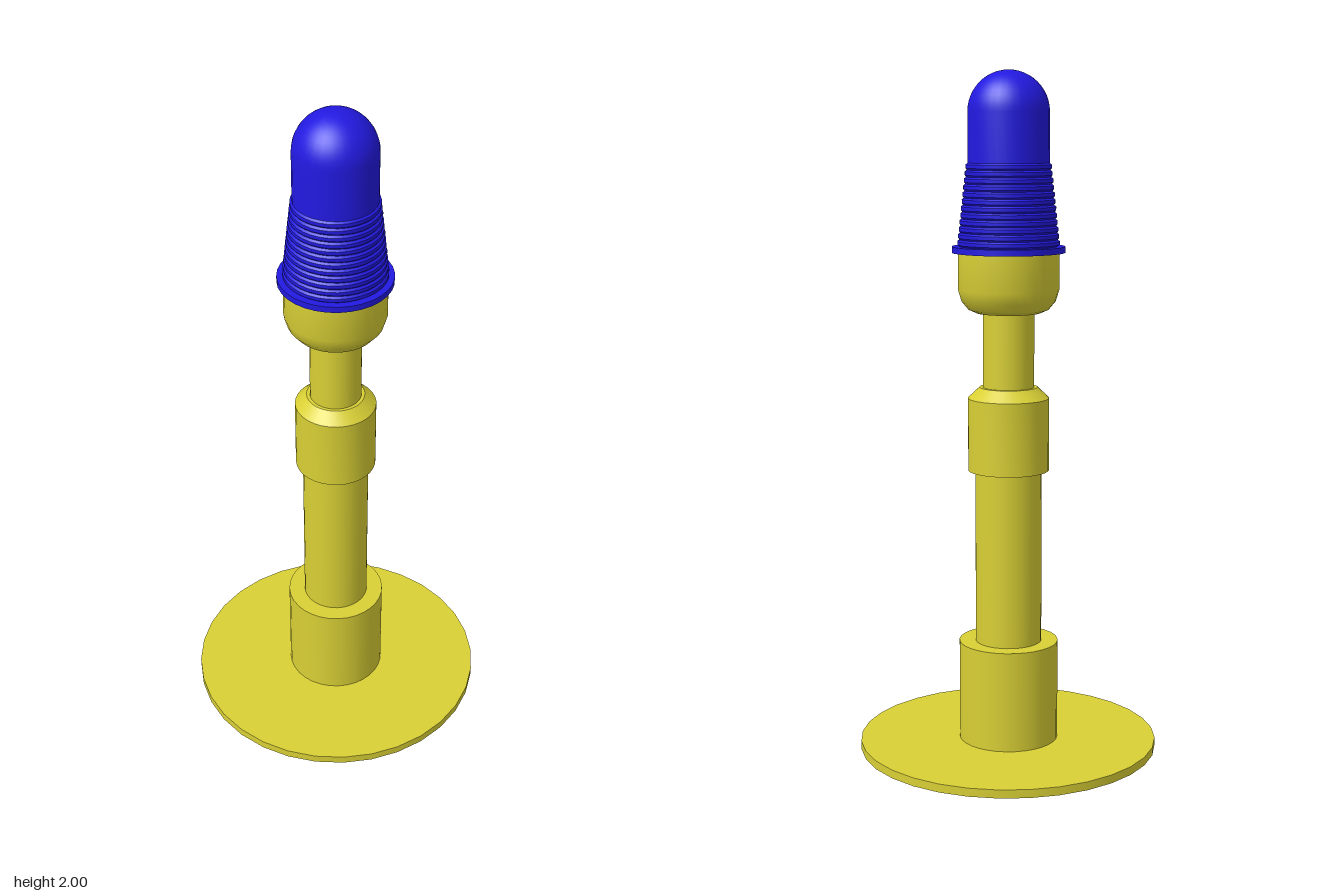
import * as THREE from 'three';
import { toCreasedNormals } from 'three/addons/utils/BufferGeometryUtils.js';

const SIDES = 32;
const yellow = new THREE.MeshStandardMaterial({ color: 0xd9d035 });
const blue = new THREE.MeshStandardMaterial({ color: 0x2219e0 });

// Turned part from [radius, height] pairs, listed bottom to top
function turned(name, profile, material) {
  const points = profile.map(([r, y]) => new THREE.Vector2(r, y));
  const geometry = toCreasedNormals(new THREE.LatheGeometry(points, SIDES), 0.45);
  const mesh = new THREE.Mesh(geometry, material);
  mesh.name = name;
  return mesh;
}

// Plain capped cylinder between two heights
function drum(name, radius, y0, y1, material) {
  const mesh = new THREE.Mesh(new THREE.CylinderGeometry(radius, radius, y1 - y0, SIDES), material);
  mesh.position.y = (y0 + y1) / 2;
  mesh.name = name;
  return mesh;
}

export function createModel() {
  const group = new THREE.Group();
  group.name = 'beaconLamp';

  // Floor plate
  group.add(drum('basePlate', 0.443, 0, 0.025, yellow));

  // Everything above the plate sits a hair off its centre
  const post = new THREE.Group();
  post.name = 'post';
  post.position.set(-0.003, 0, -0.002);
  group.add(post);

  // Stepped column
  post.add(drum('baseSocket', 0.147, 0.02, 0.325, yellow));
  post.add(drum('lowerPole', 0.098, 0.32, 0.85, yellow));
  post.add(turned('collar', [
    [0, 0.843], [0.119, 0.843], [0.119, 1.058], [0.085, 1.09], [0, 1.09],
  ], yellow));
  post.add(drum('upperPole', 0.075, 1.08, 1.32, yellow));

  // Lamp holder with a rounded underside
  post.add(turned('lampHolder', [
    [0, 1.308], [0.094, 1.308], [0.117, 1.318], [0.137, 1.342],
    [0.147, 1.375], [0.147, 1.482], [0, 1.482],
  ], yellow));

  // Lens flange
  post.add(drum('lensFlange', 0.164, 1.482, 1.5, blue));

  // Tapering ribbed lens skirt
  const ribs = 12, bottom = 1.5, pitch = 0.238 / ribs;
  const skirt = [[0, bottom]];
  for (let i = 0; i < ribs; i++) {
    const r = THREE.MathUtils.lerp(0.148, 0.124, i / (ribs - 1));
    const y = bottom + i * pitch;
    skirt.push([r - 0.006, y], [r, y + pitch * 0.25], [r, y + pitch * 0.75], [r - 0.006, y + pitch]);
  }
  skirt.push([0, bottom + ribs * pitch]);
  // Drop each rib's repeated groove point
  const ribProfile = skirt.filter(([, y], i) => i === 0 || i < 2 || i === skirt.length - 1 || Math.abs(y - skirt[i - 1][1]) > 1e-6);
  post.add(turned('ribbedSkirt', ribProfile, blue));

  // Clear upper lens with a hemispherical top
  const radius = 0.118;
  const dome = [[radius, 1.72]];
  for (let i = 0; i <= 12; i++) {
    const a = (i / 12) * Math.PI / 2;
    dome.push([i === 12 ? 0 : radius * Math.cos(a), 2 - radius + radius * Math.sin(a)]);
  }
  post.add(turned('lensDome', dome, blue));

  return group;
}
